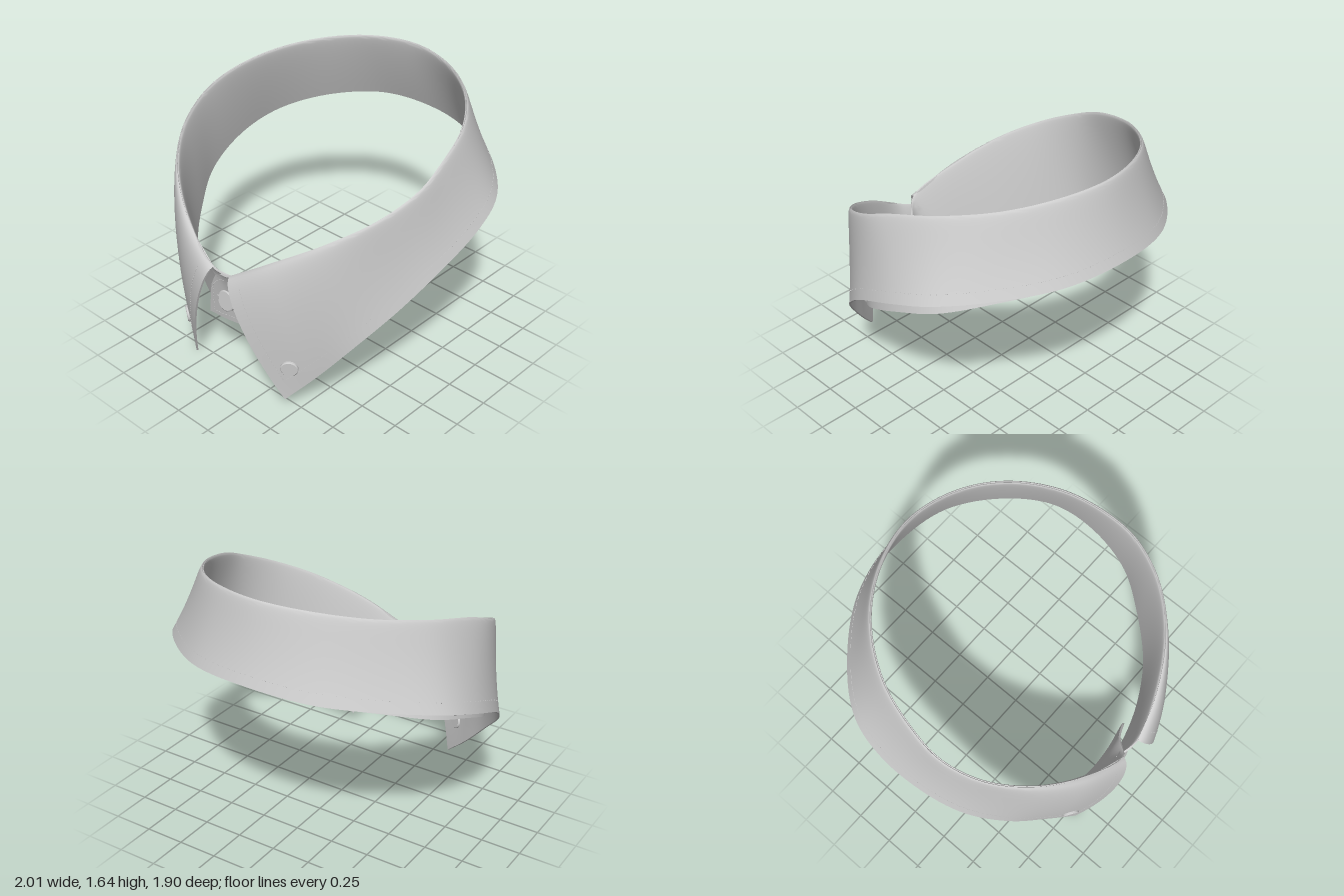
import * as THREE from 'three';
import { mergeGeometries, toCreasedNormals } from 'three/addons/utils/BufferGeometryUtils.js';

const V = (x, y, z) => new THREE.Vector3(x, y, z);
const clamp = THREE.MathUtils.clamp;
const fabric = new THREE.MeshStandardMaterial({ color: 0xcccccc, side: THREE.DoubleSide });

// Stations from the centre back (0) to the front edge (9) of one half
const FOLD = [[0, 1.64, -.8], [.3, 1.625, -.735], [.56, 1.585, -.57], [.76, 1.525, -.3], [.85, 1.445, 0],
  [.86, 1.36, .2], [.78, 1.25, .43], [.6, 1.12, .64], [.34, .96, .8], [.09, .8, .88]];
const HEM = [[0, 1.2, -.955], [.4, 1.18, -.88], [.74, 1.14, -.65], [.94, 1.09, -.41], [1, 1.01, -.16],
  [.97, .86, .15], [.88, .68, .37], [.74, .47, .56], [.57, .24, .69], [.42, .06, .8]];
const BASE = [[0, 1.19, -.93], [.36, 1.17, -.87], [.68, 1.11, -.66], [.88, 1.02, -.42], [.94, .92, -.15],
  [.91, .79, .12], [.79, .67, .33], [.6, .56, .55], [.4, .47, .68], [.2, .42, .755]];

// Joins both halves into one curve, addressed by u from -end to +end
function ring(half, adjust, rightTab = [], leftTab = []) {
  const right = half.slice(1).map(([x, y, z], i) => V(-x, y, z).add(adjust(i + 1)));
  const left = half.map(p => V(...p));
  right.push(...rightTab.map(p => V(...p)));
  left.push(...leftTab.map(p => V(...p)));
  const curve = new THREE.CatmullRomCurve3([...right.reverse(), ...left]);
  const end = left.length - 1;
  return u => curve.getPoint(clamp((u + end) / (2 * end), 0, 1));
}
const foldShift = k => V(.04 * Math.max(0, k - 8), 0, 0);
const hemShift = k => V(.08 * Math.max(0, (k - 6) / 3), -.05 * Math.min(1, k / 4), 0);
const fold = ring(FOLD, foldShift);
const hem = ring(HEM, hemShift);
const bandTop = ring(FOLD, foldShift,
  [[.06, .7, .775], [.17, .61, .725]], [[-.06, .735, .845], [-.135, .62, .825]]);
const bandBase = ring(BASE, () => V(0, 0, -.02),
  [[.02, .41, .735], [.18, .45, .71]], [[-.02, .4, .795], [-.19, .39, .8]]);

const outward = p => V(p.x, 0, p.z).normalize();

// Turned-down leaf: rolls over the fold, flares at the sides, bulges at the front
function leafPoint(u, v) {
  const t = fold(u), front = THREE.MathUtils.smoothstep(Math.abs(u), 6, 9);
  const roll = (.04 + .16 * front) * Math.sqrt(v) * (1 - v);
  const flare = .08 * (1 - front) * v * (1 - v);
  return t.clone().lerp(hem(u), v).addScaledVector(outward(t), roll - flare);
}

// Inner stand, with its two overlapping ends
function bandPoint(u, v) {
  const t = bandTop(u), a = .03 * clamp(10 - Math.abs(u), 0, 1);
  return t.clone().lerp(bandBase(u), v).addScaledVector(outward(t), -a * Math.sqrt(v) * (1 - v));
}

// Closed thin shell around a surface f(u, v)
function shell(f, end, nu, nv, thick) {
  const pos = [], idx = [], w = nv + 1;
  for (let i = 0; i <= nu; i++)
    for (let j = 0; j <= nv; j++) pos.push(...f(-end + 2 * end * i / nu, (j / nv) ** 2).toArray());
  for (let i = 0; i < nu; i++)
    for (let j = 0; j < nv; j++) {
      const a = i * w + j, b = a + w;
      idx.push(a, b, a + 1, b, b + 1, a + 1);
    }
  const mid = new THREE.BufferGeometry();
  mid.setAttribute('position', new THREE.Float32BufferAttribute(pos, 3));
  mid.setIndex(idx);
  mid.computeVertexNormals();
  const n = mid.attributes.normal.array;
  // outer face down, inner face back up, as one loop per station
  const out = [], faces = [], loop = 2 * w;
  for (let i = 0; i <= nu; i++)
    for (let j = 0; j < loop; j++) {
      const outer = j < w, q = 3 * (i * w + (outer ? j : loop - 1 - j));
      for (let c = 0; c < 3; c++) out.push(pos[q + c] + n[q + c] * (outer ? .5 : -.5) * thick);
    }
  for (let i = 0; i < nu; i++)
    for (let j = 0; j < loop; j++) {
      const a = i * loop + j, a2 = i * loop + (j + 1) % loop;
      faces.push(a, a + loop, a2, a + loop, a2 + loop, a2);
    }
  for (let j = 0; j < nv; j++) {
    const e = nu * loop, k = loop - 1 - j;
    faces.push(j, j + 1, k, j + 1, k - 1, k);
    faces.push(e + j, e + k, e + j + 1, e + j + 1, e + k, e + k - 1);
  }
  const geo = new THREE.BufferGeometry();
  geo.setAttribute('position', new THREE.Float32BufferAttribute(out, 3));
  geo.setIndex(faces);
  return toCreasedNormals(geo, 1.1);
}

// Local frame on a surface: x along it, y up it, z out of it
function frameAt(f, u, v, lift = 0) {
  const p = f(u, v), e = .02;
  const du = f(u + e, v).sub(f(u - e, v));
  const dv = f(u, v + e).sub(f(u, v - e));
  const z = du.cross(dv).normalize();
  const y = V(0, 1, 0).addScaledVector(z, -z.y).normalize();
  const m = new THREE.Matrix4().makeBasis(y.clone().cross(z), y, z);
  return m.setPosition(p.addScaledVector(z, lift));
}

// Row of small dashes following path(t) = [u, v]
function stitches(f, path, count) {
  const dashes = [];
  for (let i = 0; i < count; i++) {
    const a = f(...path(i / count)), b = f(...path((i + .6) / count));
    const z = V().setFromMatrixColumn(frameAt(f, ...path((i + .3) / count)), 2);
    const x = b.clone().sub(a), len = x.length();
    x.normalize();
    const m = new THREE.Matrix4().makeBasis(x, z.clone().cross(x), z);
    m.setPosition(a.add(b).multiplyScalar(.5).addScaledVector(z, .006));
    dashes.push(new THREE.BoxGeometry(len, .004, .004).applyMatrix4(m));
  }
  return mergeGeometries(dashes);
}

// Round button with a softened rim, seated in a thread-edged slit
function button(name, r, depth, slitAngle, slitOffset) {
  const g = new THREE.Group();
  g.name = name;
  const profile = [[0, -depth], [r * .9, -depth], [r, -depth + .005], [r, depth - .005], [r * .9, depth], [0, depth]];
  const disc = new THREE.LatheGeometry(profile.map(p => new THREE.Vector2(...p)), 32).rotateX(Math.PI / 2);
  const face = new THREE.Mesh(toCreasedNormals(disc, .6), fabric);
  face.name = 'buttonDisc';
  const slit = new THREE.Mesh(new THREE.TorusGeometry(.035, .004, 6, 24).scale(r / .035 * 1.2, .35, 1).rotateZ(slitAngle), fabric);
  slit.name = 'buttonhole';
  slit.position.y = slitOffset;
  g.add(face, slit);
  return g;
}

export function createModel() {
  const model = new THREE.Group();
  model.name = 'shirtCollar';
  const add = (name, geo) => {
    const m = new THREE.Mesh(geo, fabric);
    m.name = name;
    model.add(m);
  };

  add('collarLeaf', shell(leafPoint, 9, 144, 18, .012));
  add('collarBand', shell(bandPoint, 11, 176, 14, .012));

  // Stitching along the hem, both front edges and the buttoned tab
  add('hemStitching', stitches(leafPoint, t => [-8.7 + 17.4 * t, .87], 170));
  for (const s of [-1, 1])
    add(s < 0 ? 'rightEdgeStitching' : 'leftEdgeStitching', stitches(leafPoint, t => [s * 8.75, .08 + .79 * t], 28));
  add('tabBaseStitching', stitches(bandPoint, t => [9 + 1.75 * t, .9], 18));
  add('tabEndStitching', stitches(bandPoint, t => [10.75, .12 + .78 * t], 14));
  add('tabTopStitching', stitches(bandPoint, t => [9.6 + 1.15 * t, .12], 9));

  // Buttons at the collar points
  for (const s of [-1, 1]) {
    const b = button(s < 0 ? 'rightPointButton' : 'leftPointButton', .052, .02, Math.PI / 2, .02);
    b.applyMatrix4(frameAt(leafPoint, s * 8.46, .8));
    model.add(b);
  }

  // Neck button on the overlapping tab
  const neck = button('neckButton', .065, .016, 0, 0);
  neck.position.set(0, .57, .835);
  neck.rotation.x = -.15;
  model.add(neck);
  return model;
}
